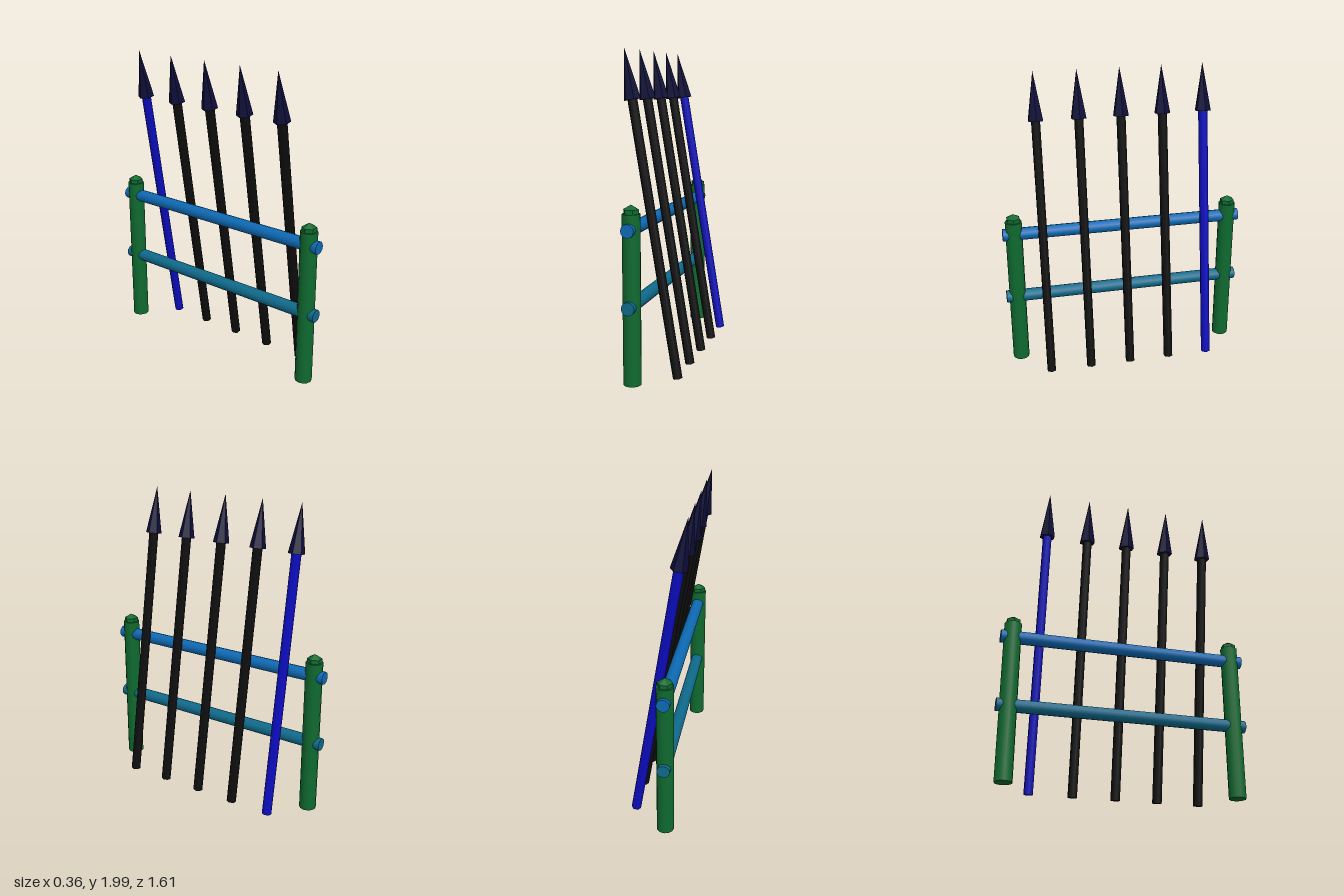
import * as THREE from 'three';

const paint = (name, color, flatShading = false) => {
  const m = new THREE.MeshStandardMaterial({ color, flatShading });
  m.name = name;
  return m;
};

function addMesh(parent, name, geometry, material, x = 0, y = 0, z = 0) {
  const mesh = new THREE.Mesh(geometry, material);
  mesh.name = name;
  mesh.position.set(x, y, z);
  parent.add(mesh);
  return mesh;
}

export function createModel() {
  const model = new THREE.Group();
  model.name = 'spikedBarricade';

  const green = paint('post green', 0x0f6a30);
  const blue = paint('upper rail blue', 0x0d6ab4);
  const teal = paint('lower rail teal', 0x0f6a8c);
  const black = paint('shaft black', 0x0d0d0d);
  const royal = paint('end shaft blue', 0x0c0cc0);
  const navy = paint('spearhead navy', 0x0d0d38, true);

  const frameX = -0.055;

  // Upright posts with faceted domed caps
  const postGeo = new THREE.CylinderGeometry(0.055, 0.055, 1.025, 12);
  const capGeo = new THREE.SphereGeometry(0.055, 6, 3).toNonIndexed();
  capGeo.computeVertexNormals();
  for (const side of [-1, 1]) {
    const post = new THREE.Group();
    post.name = side > 0 ? 'frontPost' : 'backPost';
    post.position.set(frameX, 0, side * 0.73);
    addMesh(post, 'postShaft', postGeo, green, 0, 0.5225, 0);
    addMesh(post, 'postCap', capGeo, green, 0, 1.033, 0);
    model.add(post);
  }

  // Horizontal rails passing through the posts
  const railGeo = new THREE.CylinderGeometry(0.041, 0.041, 1.61, 12).rotateX(Math.PI / 2);
  addMesh(model, 'upperRail', railGeo, blue, frameX, 0.944, 0);
  addMesh(model, 'lowerRail', railGeo, teal, frameX, 0.487, 0);

  // Leaning six-sided spears, the last with a blue shaft
  const shaftLength = 1.72, headLength = 0.31, total = 2.012;
  const shaftGeo = new THREE.CylinderGeometry(0.031, 0.031, shaftLength, 6)
    .rotateY(Math.PI / 2).translate(0, shaftLength / 2, 0);
  const headGeo = new THREE.ConeGeometry(0.053, headLength, 6)
    .rotateY(Math.PI / 2).translate(0, total - headLength / 2, 0);
  for (let i = -2; i <= 2; i++) {
    const spear = new THREE.Group();
    spear.name = 'spear' + (i + 3);
    spear.position.set(0.17, 0.005, i * 0.274);
    spear.rotation.z = 0.1633;
    addMesh(spear, 'spearShaft', shaftGeo, i === -2 ? royal : black);
    addMesh(spear, 'spearHead', headGeo, navy);
    model.add(spear);
  }

  return model;
}
